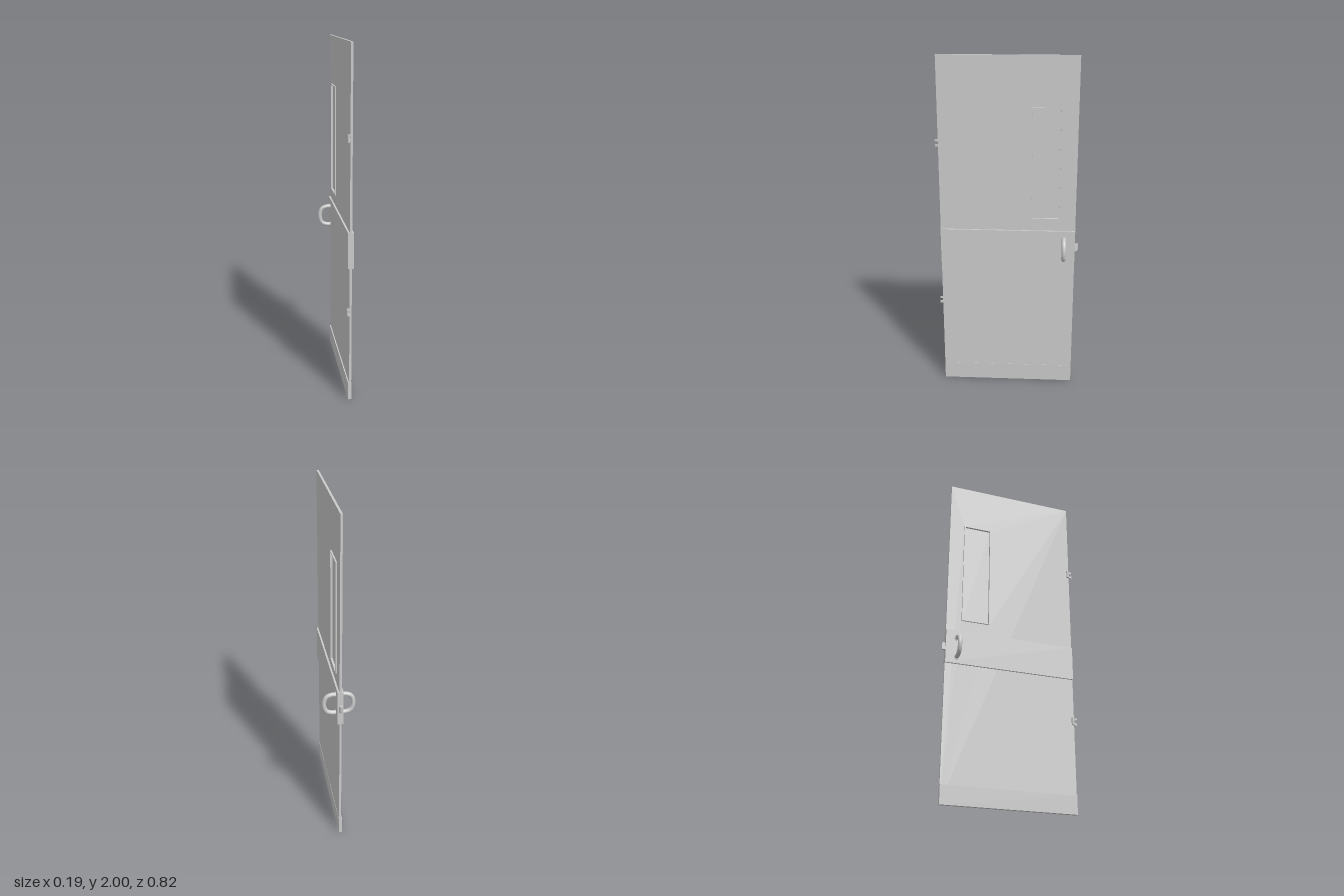
import * as THREE from 'three';

const LENGTH = 0.784, HALF = 0.0062, BAND = 0.0165;

export function createModel() {
  const model = new THREE.Group();
  model.name = 'door';
  const material = new THREE.MeshStandardMaterial({ color: 0xcccccc });

  const add = (name, geometry, x = 0, y = 0, z = 0) => {
    const mesh = new THREE.Mesh(geometry, material);
    mesh.name = name;
    mesh.position.set(x, y, z);
    model.add(mesh);
    return mesh;
  };
  const box = (name, x0, x1, y0, y1, z0, z1) =>
    add(name, new THREE.BoxGeometry(x1 - x0, y1 - y0, z1 - z0),
      (x0 + x1) / 2, (y0 + y1) / 2, (z0 + z1) / 2);
  // Rectangle whose shape x axis runs along the door's z axis
  const rect = (path, z0, z1, y0, y1) => {
    path.moveTo(z0, y0).lineTo(z1, y0).lineTo(z1, y1).lineTo(z0, y1);
    path.closePath();
    return path;
  };
  // Upright plate with a hole, centred on x = 0
  const plate = (name, outer, inner, depth) => {
    const shape = rect(new THREE.Shape(), ...outer);
    shape.holes.push(rect(new THREE.Path(), ...inner));
    const geometry = new THREE.ExtrudeGeometry(shape, { depth, bevelEnabled: false });
    geometry.translate(0, 0, -depth / 2);
    geometry.rotateY(-Math.PI / 2);
    return add(name, geometry);
  };

  // Slab with its window, thin raised frame and pane
  const e = LENGTH / 2, w = 0.006;
  const win = [-0.302, -0.132, 1.07, 1.72];
  const open = [win[0] + w, win[1] - w, win[2] + w, win[3] - w];
  plate('slab', [-e, e, 0, 2], win, HALF * 2);
  plate('windowFrame', win, open, 0.029);
  box('windowPane', -0.002, 0.002, open[2], open[3], open[0], open[1]);

  // Lock band on both faces and kick plate on one
  box('lockBand', -BAND, BAND, 0.795, 1, -e, e);
  box('kickPlate', -0.0125, 0.0075, 0, 0.105, -e, e);

  // Pull handles, one on each face
  const handleZ = -0.327, handleY = 0.893;
  for (const s of [1, -1]) {
    const points = [[0.008, 0.058], [0.04, 0.058], [0.068, 0.046], [0.081, 0.018],
      [0.081, -0.018], [0.068, -0.046], [0.04, -0.058], [0.008, -0.058]]
      .map(([x, y]) => new THREE.Vector3(s * x, handleY + y, handleZ));
    add('pullHandle', new THREE.TubeGeometry(
      new THREE.CatmullRomCurve3(points), 40, 0.0125, 14));
    for (const y of [0.058, -0.058]) {
      const collar = add('handleCollar', new THREE.CylinderGeometry(0.016, 0.016, 0.005, 20),
        s * (BAND + 0.001), handleY + y, handleZ);
      collar.rotation.z = Math.PI / 2;
    }
  }

  // Latch bolt with a curved striking side
  const bolt = new THREE.Shape();
  bolt.moveTo(-0.009, e - 0.01).lineTo(0.01, e - 0.01).lineTo(0.01, e);
  bolt.quadraticCurveTo(0.006, e + 0.016, -0.009, e + 0.019);
  bolt.closePath();
  const boltGeometry = new THREE.ExtrudeGeometry(bolt,
    { depth: 0.042, bevelEnabled: false, curveSegments: 8 });
  boltGeometry.rotateX(-Math.PI / 2);
  add('latchBolt', boltGeometry, 0, 0.875, 0);

  // Hinges: a knuckle and two thin tongues
  for (const y of [1.51, 0.535]) {
    add('hingeKnuckle', new THREE.CylinderGeometry(0.008, 0.008, 0.042, 12), -0.013, y, 0.383);
    for (const dy of [-0.0145, 0.0145])
      box('hingeTongue', -0.009, -0.005, y + dy - 0.0065, y + dy + 0.0065, 0.383, 0.4105);
  }

  // The door stands slightly ajar
  model.rotation.y = 0.087;
  model.position.set(0.0265, 0, 0.001);
  const root = new THREE.Group();
  root.add(model);
  return root;
}
